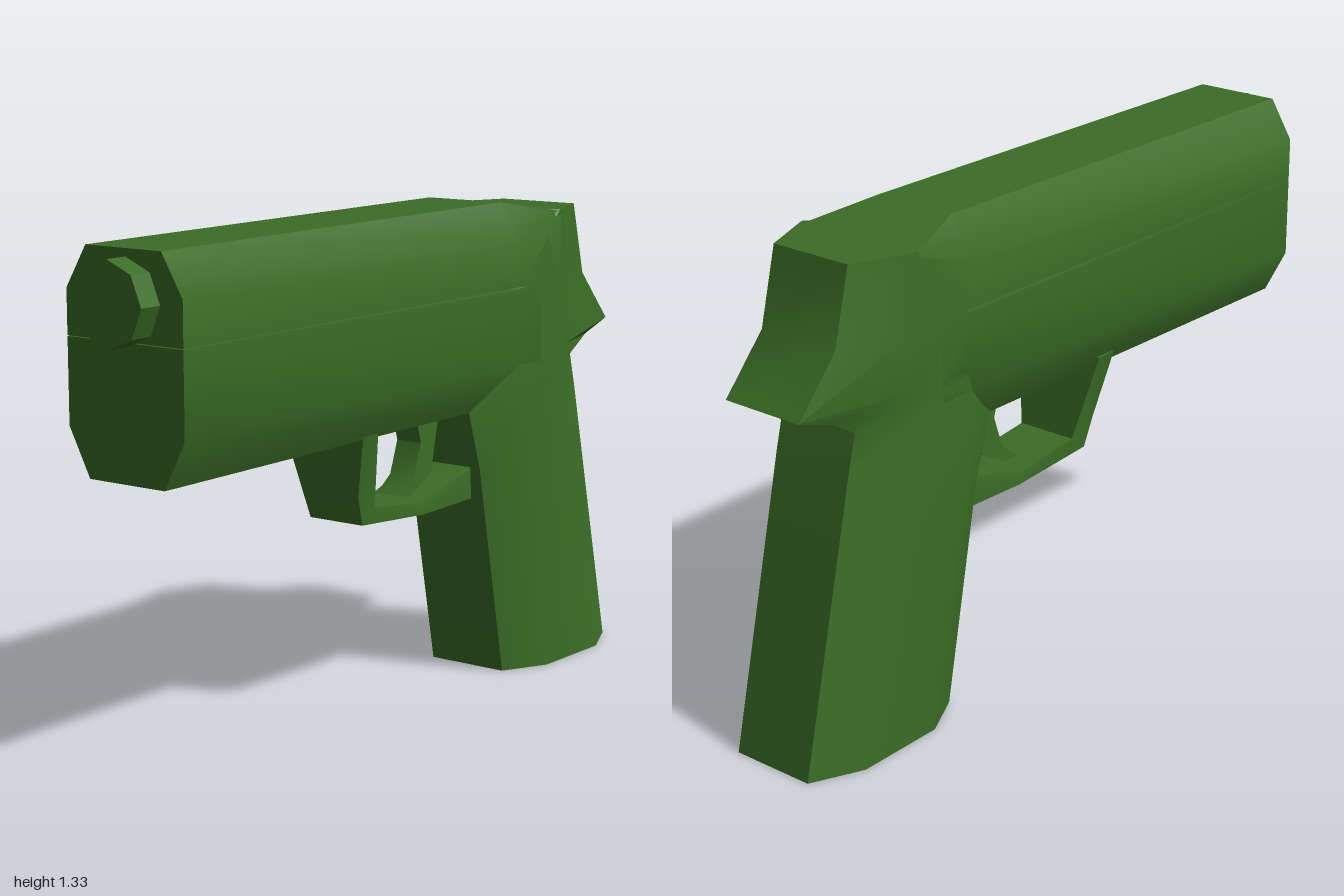
import * as THREE from 'three';
import { toCreasedNormals } from 'three/addons/utils/BufferGeometryUtils.js';

const green = new THREE.MeshStandardMaterial({ color: 0x3b6e26 });
green.name = 'green';
const CREASE = 0.62;

// Skin a list of equal-length rings, closed with a flat cap at each end
function loft(rings) {
  const n = rings[0].length;
  const index = [];
  for (let i = 0; i < rings.length - 1; i++) {
    for (let j = 0; j < n; j++) {
      const k = (j + 1) % n;
      const a = i * n + j, b = i * n + k, c = b + n, d = a + n;
      index.push(a, b, c, a, c, d);
    }
  }
  const last = (rings.length - 1) * n;
  for (let j = 1; j < n - 1; j++) {
    index.push(0, j + 1, j, last, last + j, last + j + 1);
  }
  const geo = new THREE.BufferGeometry();
  geo.setAttribute('position', new THREE.Float32BufferAttribute(rings.flat(2), 3));
  geo.setIndex(index);
  return toCreasedNormals(geo, CREASE);
}

// Right half of a section [x, y], bottom to top, mirrored into a ring at z
function sectionAt(z, half) {
  const right = half.map(([x, y]) => [x, y, z]);
  const left = half.map(([x, y]) => [-x, y, z]).reverse();
  return [...right, ...left];
}

// Extrude a side outline [z, y] across x; width(y) gives the half width
function sideExtrude(points, width) {
  const shape = new THREE.Shape(points.map(([z, y]) => new THREE.Vector2(z, y)));
  const geo = new THREE.ExtrudeGeometry(shape, { depth: 2, bevelEnabled: false });
  geo.translate(0, 0, -1).rotateY(-Math.PI / 2);
  const p = geo.attributes.position;
  for (let i = 0; i < p.count; i++) p.setX(i, p.getX(i) * width(p.getY(i)));
  return toCreasedNormals(geo, CREASE);
}

export function createModel() {
  const group = new THREE.Group();
  const add = (name, geo) => {
    const mesh = new THREE.Mesh(geo, green);
    mesh.name = name;
    group.add(mesh);
    return mesh;
  };
  const W = 0.185, N = 0.12;

  // Upper slide, its chamfer running out towards the rear
  add('slide', loft([
    sectionAt(-0.64, [[W, 1.1], [W, 1.285], [W, 1.292]]),
    sectionAt(-0.44, [[W, 1.1], [W, 1.22], [N, 1.328]]),
    sectionAt(0.935, [[W, 1.095], [W, 1.21], [N, 1.317]]),
  ]));

  // Lower frame with chamfered underside
  add('frame', loft([
    sectionAt(-0.55, [[N, 0.768], [W, 0.885], [W, 1.094]]),
    sectionAt(0.935, [[N, 0.752], [W, 0.875], [W, 1.093]]),
  ]));

  // Grip, flared tail and rear block: [y, front, side front, side back, back]
  const gripRings = [
    [0, -0.47, -0.6, -0.86, -1.0],
    [0.6, -0.352, -0.48, -0.73, -0.862],
    [0.77, -0.297, -0.44, -0.69, -0.823],
    [0.87, -0.31, -0.44, -0.67, -0.797],
    [0.918, -0.32, -0.45, -0.67, -0.877],
    [0.953, -0.33, -0.45, -0.67, -0.985],
    [1.096, -0.36, -0.46, -0.67, -0.856],
    [1.298, -0.6, -0.635, -0.645, -0.805],
  ];
  add('grip', loft(gripRings.map(([y, f, sf, sb, b]) => [
    [N, y, f], [W, y, sf], [W, y, sb], [N, y, b],
    [-N, y, b], [-W, y, sb], [-W, y, sf], [-N, y, f],
  ])));

  // Octagonal barrel end
  const barrelGeo = new THREE.CylinderGeometry(0.107, 0.107, 0.12, 8);
  barrelGeo.rotateX(Math.PI / 2);
  add('barrel', toCreasedNormals(barrelGeo, CREASE)).position.set(0.008, 1.19, 0.94);

  // Guard loop, widening where it meets the frame
  add('triggerGuard', sideExtrude([
    [0.183, 0.79], [0.15, 0.6], [0.123, 0.52], [-0.15, 0.503], [-0.42, 0.512],
    [-0.42, 0.62], [-0.34, 0.6], [-0.14, 0.537], [0.07, 0.56], [0.12, 0.79],
  ], (y) => 0.087 + Math.max(0, y - 0.57) * 0.23)).position.x = -0.008;

  // Curved trigger
  add('trigger', sideExtrude([
    [-0.158, 0.79], [-0.187, 0.69], [-0.155, 0.6], [-0.096, 0.556],
    [-0.14, 0.55], [-0.235, 0.6], [-0.25, 0.674], [-0.275, 0.79],
  ], () => 0.04));

  return group;
}
